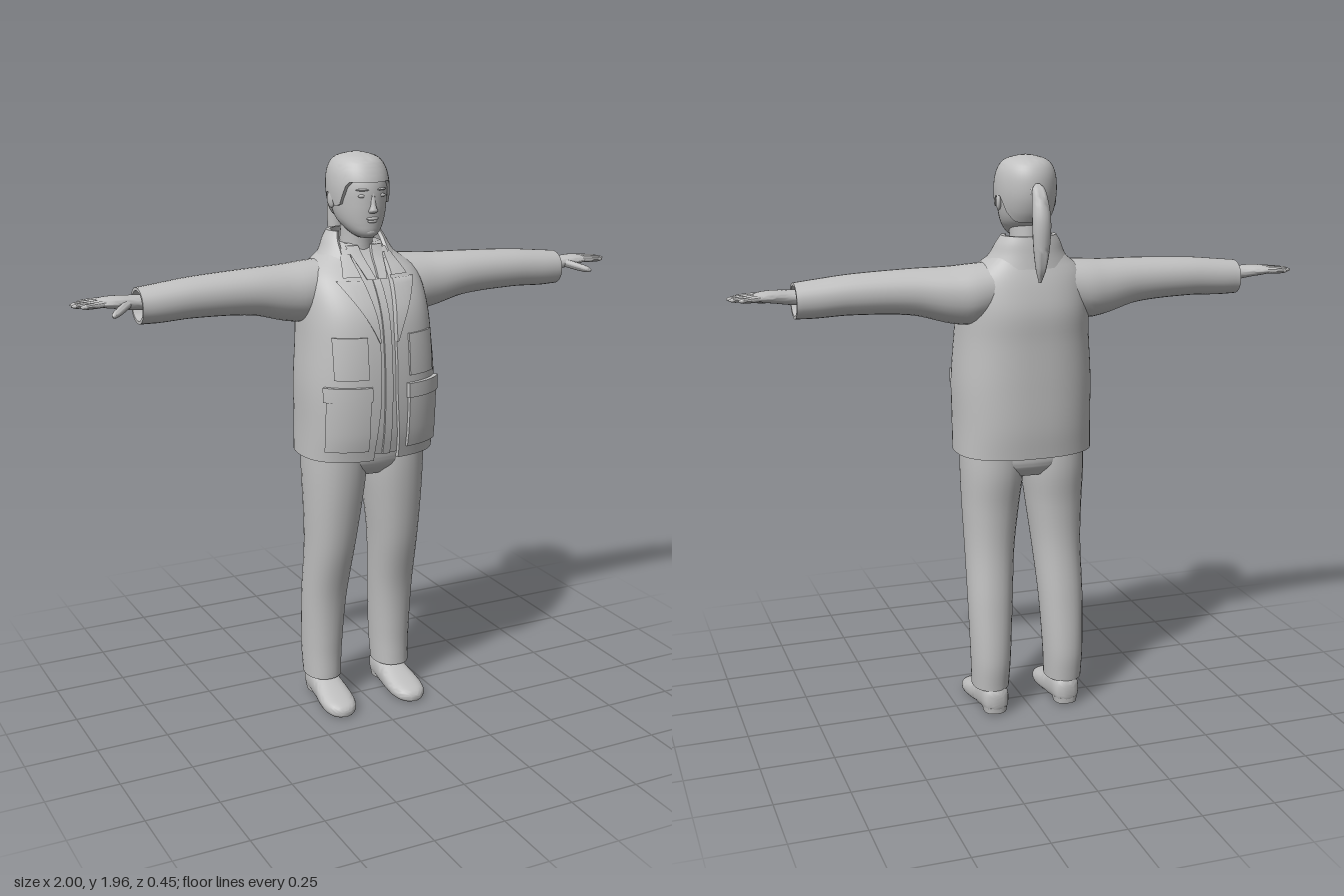
import * as THREE from 'three';
import { toCreasedNormals } from 'three/addons/utils/BufferGeometryUtils.js';

const V = (x, y, z) => new THREE.Vector3(x, y, z);
const smooth = THREE.MathUtils.smoothstep;

// Rows [t, centreU, centreV, radiusU, radiusV] become a smooth function of t
function profile(rows, e = 1) {
  const slope = (i, k) => {
    const p = rows[Math.max(i - 1, 0)], n = rows[Math.min(i + 1, rows.length - 1)];
    return (n[k] - p[k]) / (n[0] - p[0]);
  };
  const at = (t) => {
    let i = 0;
    while (i < rows.length - 2 && t > rows[i + 1][0]) i++;
    const h = rows[i + 1][0] - rows[i][0], s = (t - rows[i][0]) / h, s2 = s * s, s3 = s2 * s;
    return [1, 2, 3, 4].map((k) => (2 * s3 - 3 * s2 + 1) * rows[i][k] + (3 * s2 - 2 * s3) * rows[i + 1][k]
      + h * ((s3 - 2 * s2 + s) * slope(i, k) + (s3 - s2) * slope(i + 1, k)));
  };
  return { at, e, t0: rows[0][0], t1: rows[rows.length - 1][0] };
}

// Point on a profile; angle 0 is the front, growing towards +x
function surf(p, t, a, off = 0) {
  const [cu, cv, ru, rv] = p.at(t);
  const pw = (v) => Math.sign(v) * Math.abs(v) ** p.e;
  return V(cu + Math.max(ru + off, 0.001) * pw(Math.sin(a)), t, cv + Math.max(rv + off, 0.001) * pw(Math.cos(a)));
}
// Angle of a given x on a profile
const angleAt = (p, t, x) => Math.sign(x) * Math.asin(Math.min(1, Math.abs(x) / p.at(t)[2]) ** (1 / p.e));

// Closed skin over a list of rings
function skin(rings, crease = 0.9) {
  const n = rings[0].length, idx = [], last = (rings.length - 1) * n;
  for (let r = 0; r < rings.length - 1; r++) {
    for (let i = 0; i < n; i++) {
      const j = (i + 1) % n, a = r * n + i, b = r * n + j;
      idx.push(a, b, a + n, b, b + n, a + n);
    }
  }
  for (let i = 0; i < n / 2 - 1; i++) {
    const a = i, b = i + 1, c = n - 2 - i, d = n - 1 - i;
    idx.push(a, c, b, a, d, c, last + a, last + b, last + c, last + a, last + c, last + d);
  }
  const g = new THREE.BufferGeometry();
  g.setAttribute('position', new THREE.Float32BufferAttribute(rings.flat().flatMap((v) => [v.x, v.y, v.z]), 3));
  g.setIndex(idx);
  return toCreasedNormals(g, crease);
}

// Solid loft; a hollow one has its far end sunk inwards
function loft(rows, { n = 28, steps = 24, e = 1, off = 0, hollow = 0 } = {}) {
  const p = profile(rows, e), rings = [];
  const ring = (t, o) => Array.from({ length: n }, (_, i) => surf(p, t, (i / n) * Math.PI * 2, o));
  for (let s = 0; s <= steps; s++) rings.push(ring(p.t0 + (p.t1 - p.t0) * s / steps, off));
  if (hollow) rings.push(ring(p.t1, -0.01), ring(p.t1 - hollow, -0.015));
  return skin(rings);
}

// Thick sheet on a profile between two heights and two angles
function sheet(p, y0, y1, range, outer, inner, n = 10, steps = 12) {
  const rings = [];
  for (let s = 0; s <= steps; s++) {
    const y = y0 + (y1 - y0) * s / steps, [a0, a1] = range(y), ring = [];
    for (let i = 0; i <= n; i++) ring.push(surf(p, y, a0 + (a1 - a0) * i / n, outer));
    for (let i = n; i >= 0; i--) ring.push(surf(p, y, a0 + (a1 - a0) * i / n, inner));
    rings.push(ring);
  }
  return skin(rings);
}

// Mirror across x, keeping faces outward
function mirror(geo) {
  const g = (geo.index ? geo.toNonIndexed() : geo.clone()).scale(-1, 1, 1);
  for (const { array: d } of Object.values(g.attributes)) {
    const w = d.length / g.attributes.position.count;
    for (let i = 0; i < d.length; i += 3 * w) {
      for (let k = 0; k < w; k++) [d[i + w + k], d[i + 2 * w + k]] = [d[i + 2 * w + k], d[i + w + k]];
    }
  }
  return g;
}

// Tapered finger between two points
function finger(a, b, r) {
  const d = b.clone().sub(a), L = d.length();
  const g = loft([[0, 0, 0, r, r], [L * 0.5, 0, 0, r * 0.95, r * 0.95], [L * 0.88, 0, 0, r * 0.7, r * 0.7], [L, 0, 0, r * 0.2, r * 0.2]], { n: 10, steps: 10 });
  return g.applyQuaternion(new THREE.Quaternion().setFromUnitVectors(V(0, 1, 0), d.normalize())).translate(a.x, a.y, a.z);
}
const blob = (x, y, z, rx, ry, rz) => new THREE.SphereGeometry(1, 14, 10).scale(rx, ry, rz).translate(x, y, z);

export function createModel() {
  const model = new THREE.Group();
  const grey = new THREE.MeshStandardMaterial({ color: 0xc0c0c0 });
  grey.name = 'light grey';
  const add = (name, geo) => {
    const m = new THREE.Mesh(geo, grey);
    m.name = name;
    model.add(m);
  };
  const pair = (name, geo) => {
    add(name + 'Left', geo);
    add(name + 'Right', mirror(geo));
  };

  // Jacket body, open down the front
  const torsoRows = [[0.95, 0, 0.01, 0.24, 0.18], [1.05, 0, 0.015, 0.238, 0.195], [1.2, 0, 0.017, 0.238, 0.2],
    [1.35, 0, 0.012, 0.228, 0.195], [1.45, 0, 0, 0.222, 0.185], [1.53, 0, -0.015, 0.212, 0.155],
    [1.58, 0, -0.03, 0.19, 0.125], [1.62, 0, -0.045, 0.14, 0.095], [1.66, 0, -0.055, 0.1, 0.075]];
  const torso = profile(torsoRows, 0.8);
  const gap = (y) => 0.03 + 0.016 * (1 - smooth(y, 0.95, 1.2)) + 0.03 * smooth(y, 1.38, 1.64);
  add('jacketBody', sheet(torso, 0.95, 1.645, (y) => {
    const a = angleAt(torso, y, gap(y));
    return [a, Math.PI * 2 - a];
  }, 0, -0.014, 60, 32));

  // Lapels, pockets and flaps lie on the jacket
  const patch = (y0, y1, x0, x1, off) => sheet(torso, y0, y1, (y) => [angleAt(torso, y, x0(y)), angleAt(torso, y, x1(y))], off, -0.008);
  const k = (v) => () => v;
  pair('lapel', patch(1.36, 1.555, gap, (y) => gap(y) + 0.004 + 0.42 * (y - 1.36), 0.007));
  pair('upperLapel', patch(1.565, 1.63, gap, (y) => gap(y) + 0.06 - 0.5 * (y - 1.565), 0.008));
  pair('lowerPocket', patch(0.99, 1.18, k(0.07), k(0.2), 0.01));
  pair('pocketFlap', patch(1.165, 1.215, k(0.065), k(0.205), 0.014));
  pair('chestPocket', patch(1.24, 1.38, k(0.075), k(0.18), 0.006));

  // Jacket collar standing round the neck
  const collar = profile([[1.59, 0, -0.035, 0.158, 0.118], [1.64, 0, -0.05, 0.124, 0.095], [1.675, 0, -0.06, 0.108, 0.08], [1.7, 0, -0.065, 0.092, 0.07]], 0.95);
  add('jacketCollar', sheet(collar, 1.595, 1.7, (y) => {
    const a = 0.6 + 3.5 * (y - 1.595);
    return [a, Math.PI * 2 - a];
  }, 0.002, -0.012, 40, 10));

  // Shirt, placket and shirt collar
  add('shirt', loft([[0.97, 0, 0.01, 0.238, 0.184], ...torsoRows.slice(1)], { n: 48, e: 0.8, off: -0.012 }));
  add('shirtPlacket', sheet(torso, 0.97, 1.56, (y) => [-angleAt(torso, y, 0.014), angleAt(torso, y, 0.014)], -0.004, -0.014, 4, 16));
  pair('shirtCollar', patch(1.555, 1.655, (y) => 0.004 + 0.2 * (y - 1.555), (y) => 0.036 + 0.3 * (y - 1.555), 0.003));

  // Sleeves
  pair('sleeve', loft([[0.1, -1.53, -0.045, 0.083, 0.095], [0.2, -1.507, -0.042, 0.1, 0.105], [0.27, -1.507, -0.038, 0.095, 0.099],
    [0.4, -1.522, -0.028, 0.077, 0.085], [0.6, -1.523, -0.022, 0.067, 0.073], [0.72, -1.515, -0.02, 0.063, 0.067],
    [0.785, -1.512, -0.02, 0.059, 0.062]], { steps: 36, e: 0.95, hollow: 0.04 }).rotateZ(-Math.PI / 2));

  // Hands
  pair('palm', loft([[0.72, -1.52, -0.02, 0.026, 0.033], [0.8, -1.525, -0.02, 0.024, 0.031], [0.85, -1.53, -0.022, 0.021, 0.041],
    [0.895, -1.532, -0.028, 0.016, 0.045], [0.915, -1.532, -0.03, 0.009, 0.04]], { steps: 14 }).rotateZ(-Math.PI / 2));
  [['index', 0.004, 0.012, 0.978], ['middle', -0.018, -0.017, 1], ['ring', -0.04, -0.046, 0.996], ['little', -0.06, -0.074, 0.968]]
    .forEach(([name, z0, z1, x]) => pair(name + 'Finger', finger(V(0.89, 1.533, z0), V(x, 1.529, z1), 0.0105)));
  pair('thumb', finger(V(0.825, 1.525, 0.005), V(0.893, 1.502, 0.068), 0.014));

  // Trousers
  add('trouserSeat', loft([[0.87, 0, 0, 0.12, 0.09], [0.91, 0, 0.005, 0.195, 0.122], [0.97, 0, 0.01, 0.215, 0.13], [1.03, 0, 0.01, 0.215, 0.13]], { e: 0.85 }));
  pair('trouserLeg', loft([[0.095, 0.137, -0.045, 0.064, 0.08], [0.2, 0.136, -0.05, 0.069, 0.085], [0.4, 0.132, -0.035, 0.078, 0.086],
    [0.6, 0.124, -0.003, 0.086, 0.1], [0.75, 0.117, 0.007, 0.098, 0.113], [0.88, 0.111, 0.007, 0.108, 0.127],
    [1, 0.11, 0.01, 0.108, 0.13]], { steps: 36, e: 0.92 }));

  // Shoes, with flat soles and raised heels
  const shoe = loft([[-0.13, 0.133, -0.055, 0.02, 0.028], [-0.115, 0.133, -0.058, 0.042, 0.05], [-0.06, 0.133, -0.058, 0.05, 0.056],
    [0, 0.133, -0.045, 0.054, 0.05], [0.05, 0.135, -0.035, 0.06, 0.04], [0.1, 0.137, -0.026, 0.06, 0.032],
    [0.145, 0.138, -0.02, 0.045, 0.024], [0.165, 0.138, -0.016, 0.018, 0.012]], { e: 0.8 }).rotateX(Math.PI / 2);
  const sp = shoe.attributes.position;
  for (let i = 0; i < sp.count; i++) {
    const z = sp.getZ(i), arch = 0.014 * smooth(-z, -0.05, 0);
    sp.setY(i, Math.max(sp.getY(i), arch));
  }
  pair('shoe', shoe);
  pair('shoeHeel', loft([[0.008, 0.133, -0.085, 0.04, 0.042], [0.03, 0.133, -0.085, 0.044, 0.044]], { steps: 2, e: 0.8 }));
  pair('ankle', loft([[0.05, 0.135, -0.055, 0.046, 0.055], [0.14, 0.135, -0.05, 0.045, 0.055]], { steps: 3 }));

  // Head and neck
  const headRows = [[1.685, 0, 0.028, 0.026, 0.04], [1.7, 0, 0.02, 0.048, 0.06], [1.74, 0, -0.01, 0.076, 0.096], [1.8, 0, -0.025, 0.09, 0.115],
    [1.86, 0, -0.03, 0.093, 0.117], [1.91, 0, -0.035, 0.082, 0.1], [1.938, 0, -0.036, 0.055, 0.068], [1.95, 0, -0.036, 0.01, 0.012]];
  const head = profile(headRows);
  add('head', loft(headRows, { n: 36, steps: 30 }));
  add('neck', loft([[1.58, 0, -0.045, 0.066, 0.07], [1.65, 0, -0.04, 0.055, 0.063], [1.75, 0, -0.03, 0.054, 0.064]]));

  // Face
  add('nose', loft([[1.77, 0, 0.084, 0.014, 0.012], [1.778, 0, 0.085, 0.017, 0.021], [1.79, 0, 0.084, 0.011, 0.018], [1.835, 0, 0.082, 0.007, 0.008]], { n: 14, steps: 12 }));
  add('upperLip', blob(0, 1.751, 0.083, 0.023, 0.006, 0.009));
  add('lowerLip', blob(0, 1.742, 0.081, 0.019, 0.006, 0.009));
  add('chin', blob(0, 1.706, 0.066, 0.024, 0.016, 0.017));
  const onFace = (x, y) => surf(head, y, angleAt(head, y, x));
  const eye = onFace(0.036, 1.826), brow = onFace(0.036, 1.846);
  pair('eye', blob(eye.x, eye.y, eye.z - 0.002, 0.015, 0.006, 0.006));
  pair('brow', blob(0, 0, 0, 0.022, 0.004, 0.006).rotateY(0.4).translate(brow.x, brow.y, brow.z));
  pair('ear', blob(0, 0, 0, 0.009, 0.03, 0.018).rotateY(-0.3).translate(0.094, 1.808, -0.035));

  // Hair cap with a fringe, lower at the back
  const hairRings = [];
  for (let s = 0; s <= 18; s++) {
    hairRings.push(Array.from({ length: 48 }, (_, i) => {
      const a = (i / 48) * Math.PI * 2, b = Math.min(a, Math.PI * 2 - a);
      const low = 1.87 - 0.08 * smooth(b, 0.8, 1.25) + 0.04 * smooth(b, 1.45, 1.6) * (1 - smooth(b, 1.8, 2.1)) - 0.045 * smooth(b, 1.9, 2.5);
      const u = 1 - (1 - s / 18) ** 1.5, y = low + (1.95 - low) * u, p = surf(head, y, a, 0.009);
      return p.setY(y + 0.009 * u);
    }));
  }
  add('hair', skin(hairRings));

  // Ponytail with its tie
  add('ponytail', loft([[1.555, 0, -0.182, 0.004, 0.006], [1.6, 0, -0.19, 0.017, 0.02], [1.68, 0, -0.196, 0.028, 0.027], [1.76, 0, -0.195, 0.031, 0.03],
    [1.82, 0, -0.18, 0.027, 0.028], [1.86, 0, -0.165, 0.02, 0.02], [1.875, 0, -0.156, 0.006, 0.008]], { n: 16, steps: 26 }));
  add('hairTie', new THREE.TorusGeometry(0.018, 0.008, 8, 18).translate(0, 1.848, -0.148));

  return model;
}
